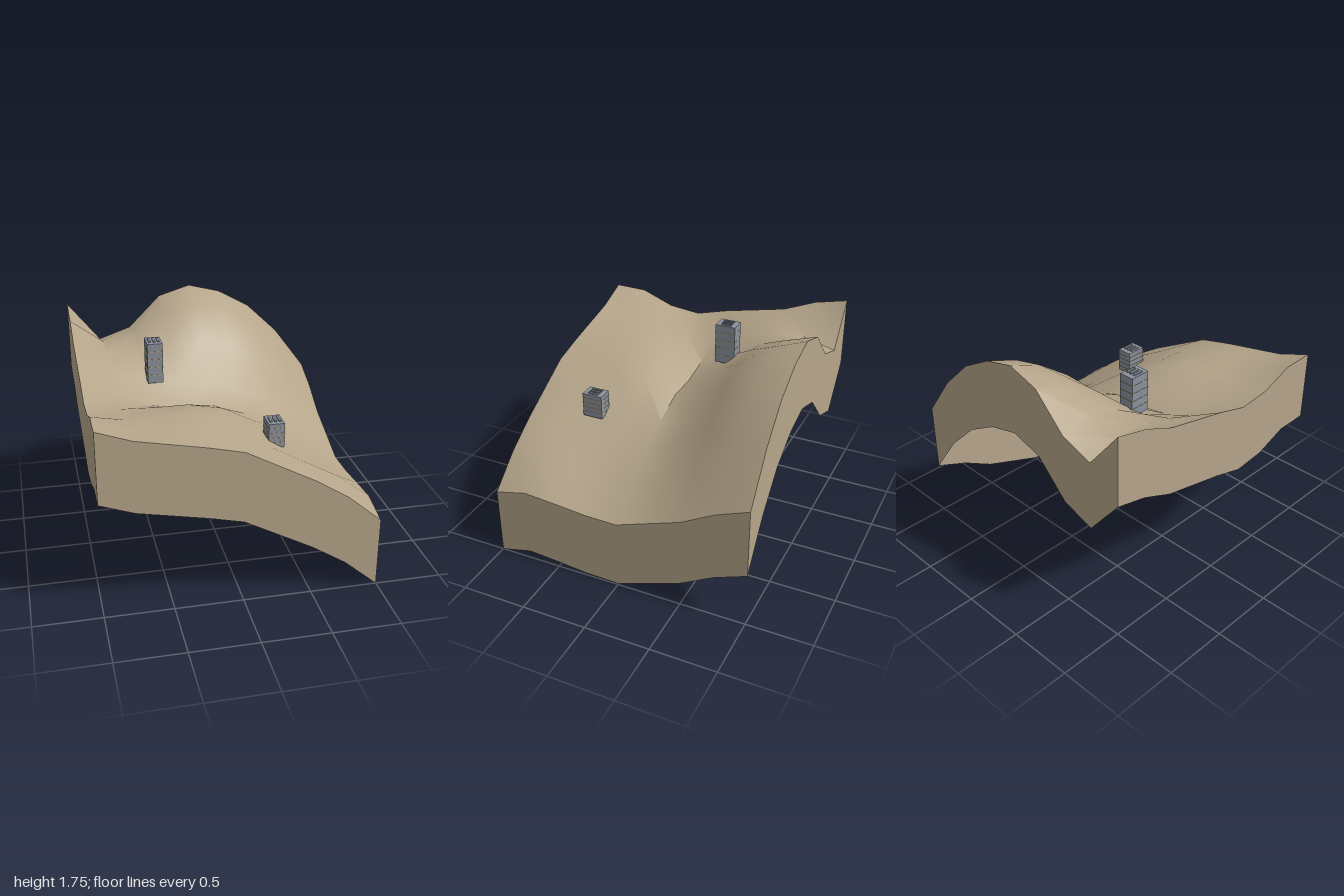
import * as THREE from 'three';
import { toCreasedNormals } from 'three/addons/utils/BufferGeometryUtils.js';

// ground heights, rows from back (z = -1) to front (z = 1), columns from x = -1 to 1
const HEIGHTS = [
  [1.65, 1.335, 1.42, 1.67, 1.745, 1.68, 1.54, 1.30, 0.965],
  [1.59, 1.40, 1.46, 1.59, 1.65, 1.59, 1.43, 1.18, 0.865],
  [1.485, 1.40, 1.40, 1.46, 1.47, 1.40, 1.24, 1.0, 0.725],
  [1.43, 1.33, 1.25, 1.23, 1.20, 1.10, 0.98, 0.82, 0.635],
  [1.375, 1.24, 1.14, 1.09, 1.09, 1.0, 0.87, 0.73, 0.545],
  [1.305, 1.24, 1.23, 1.23, 1.18, 1.05, 0.88, 0.72, 0.55],
  [1.33, 1.27, 1.28, 1.275, 1.19, 1.05, 0.89, 0.74, 0.575],
  [1.425, 1.31, 1.27, 1.255, 1.18, 1.07, 0.93, 0.79, 0.595],
  [1.43, 1.34, 1.29, 1.24, 1.18, 1.045, 0.91, 0.75, 0.535],
];
const N = 8;
const DEPTH = 0.535;

const ground = new THREE.MeshStandardMaterial({ color: 0xb5a58a, side: THREE.DoubleSide });
ground.name = 'earth';
const concrete = new THREE.MeshStandardMaterial({ color: 0x8a919c });
concrete.name = 'concrete';
const lamp = new THREE.MeshStandardMaterial({ color: 0xc0a878 });
lamp.name = 'window light';

function part(name, geometry, material, x = 0, y = 0, z = 0) {
  const mesh = new THREE.Mesh(geometry, material);
  mesh.name = name;
  mesh.position.set(x, y, z);
  return mesh;
}

// hilly top sheet
function terrainSurface() {
  const geo = new THREE.PlaneGeometry(2, 2, N, N).rotateX(-Math.PI / 2);
  const pos = geo.attributes.position;
  for (let i = 0; i < pos.count; i++) {
    pos.setY(i, HEIGHTS[Math.floor(i / (N + 1))][i % (N + 1)]);
  }
  return toCreasedNormals(geo, 0.6);
}

// one cut side, hanging a constant depth below the edge; at(i) gives [column, row]
function cutSide(at) {
  const points = [];
  for (let i = 0; i <= N; i++) {
    const [c, r] = at(i);
    const x = c * 2 / N - 1, z = r * 2 / N - 1, y = HEIGHTS[r][c];
    points.push(x, y, z, x, y - DEPTH, z);
  }
  const index = [];
  for (let i = 0; i < N; i++) {
    const a = i * 2;
    index.push(a, a + 1, a + 2, a + 1, a + 3, a + 2);
  }
  const geo = new THREE.BufferGeometry();
  geo.setAttribute('position', new THREE.Float32BufferAttribute(points, 3));
  geo.setIndex(index);
  geo.computeVertexNormals();
  return geo;
}

// tower block with lit floor bands and three roof bars
function tower(name, x, z, base, height) {
  const group = new THREE.Group();
  group.name = name;
  const w = 0.117, d = 0.157, floors = 5;
  group.position.set(x, base, z);
  group.add(part('towerBody', new THREE.BoxGeometry(w, height, d), concrete, 0, height / 2));
  for (let i = 1; i < floors; i++) {
    group.add(part('floorBand', new THREE.BoxGeometry(w + 0.004, 0.005, d + 0.004), lamp, 0, height * i / floors));
  }
  for (const s of [-1, 0, 1]) {
    group.add(part('roofBar', new THREE.BoxGeometry(0.016, 0.01, 0.08), concrete, s * 0.033, height + 0.005));
  }
  return group;
}

export function createModel() {
  const model = new THREE.Group();
  model.name = 'hillsideWithTowers';
  model.add(part('terrainSurface', terrainSurface(), ground));

  // the four cut sides, each running left to right as seen from outside
  const sides = {
    frontCut: i => [i, N],
    leftCut: i => [N, N - i],
    backCut: i => [N - i, 0],
    rightCut: i => [0, i],
  };
  for (const [name, at] of Object.entries(sides)) model.add(part(name, cutSide(at), ground));

  model.add(tower('tallTower', -0.417, -0.25, 1.245, 0.312));
  model.add(tower('shortTower', 0.333, 0.5, 0.98, 0.185));
  return model;
}
